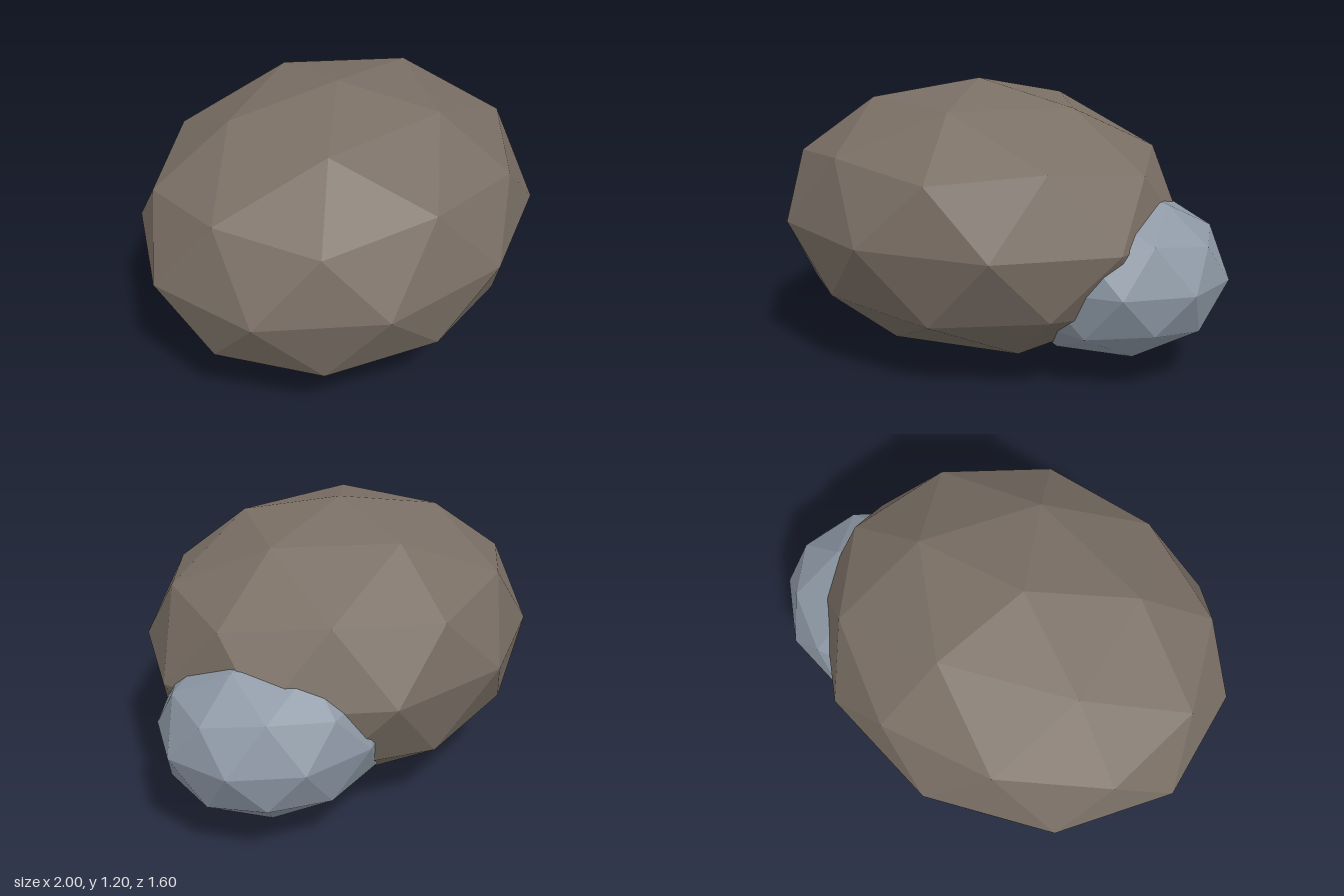
import * as THREE from 'three';

// Faceted boulder: a subdivided icosahedron standing on a vertex, stretched per axis
function boulder(name, material, radii, position) {
  const geometry = new THREE.IcosahedronGeometry(1, 1);
  const golden = (1 + Math.sqrt(5)) / 2;
  geometry.rotateZ(-Math.atan(1 / golden)); // bring one corner to the top
  geometry.scale(...radii);
  geometry.computeVertexNormals(); // unshared corners give flat faces
  const mesh = new THREE.Mesh(geometry, material);
  mesh.name = name;
  mesh.position.set(...position);
  return mesh;
}

export function createModel() {
  const brownStone = new THREE.MeshStandardMaterial({ color: 0x7a6f65, flatShading: true });
  brownStone.name = 'brown stone';
  const greyStone = new THREE.MeshStandardMaterial({ color: 0x8d98a5, flatShading: true });
  greyStone.name = 'blue grey stone';

  const group = new THREE.Group();
  group.name = 'rocks';
  group.add(
    boulder('largeRock', brownStone, [0.936, 0.6, 0.8], [-0.11, 0.6, 0]),
    boulder('smallRock', greyStone, [0.535, 0.37, 0.46], [0.49, 0.43, -0.1]),
  );
  return group;
}
